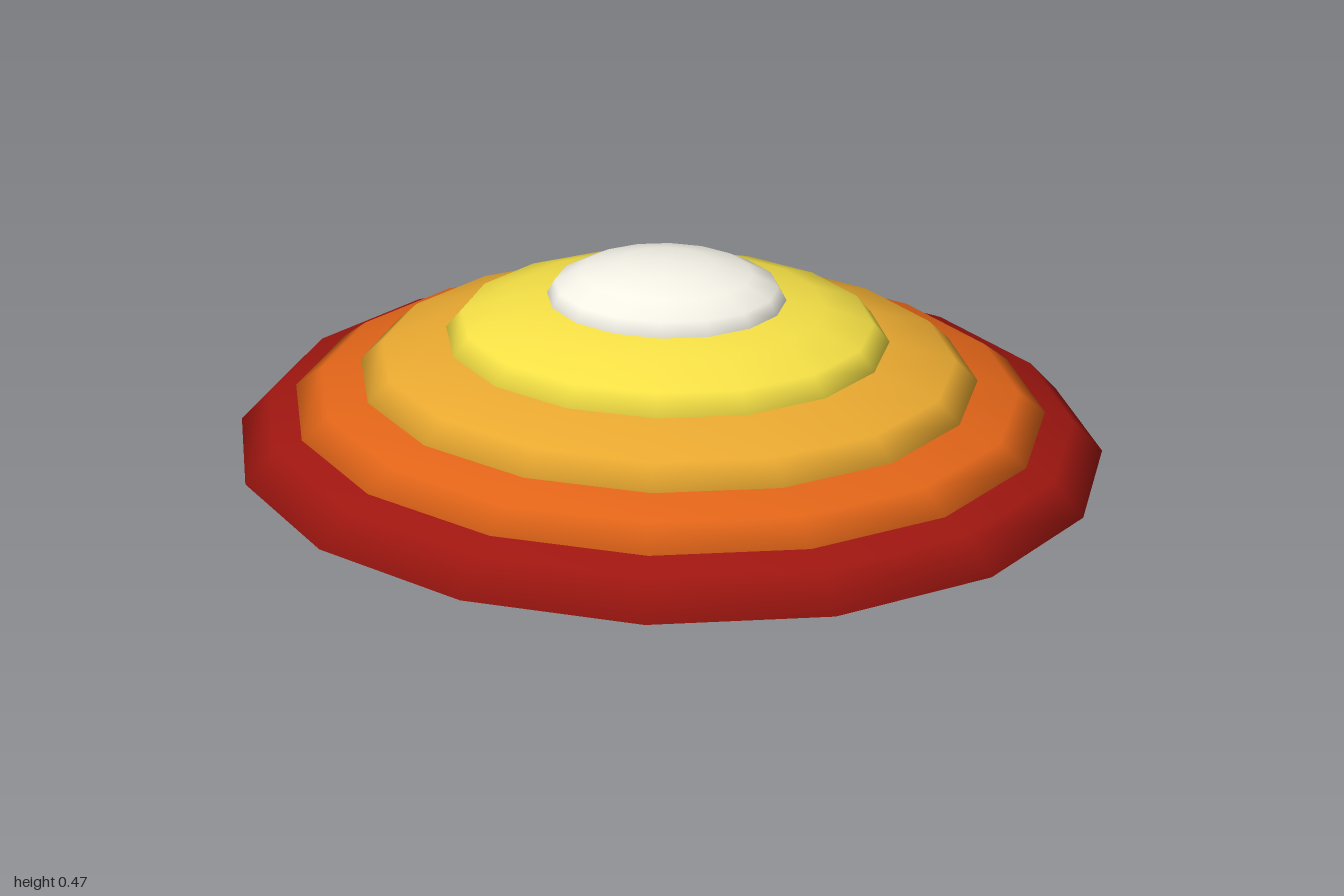
import * as THREE from 'three';

const SIDES = 16;

// One tier: a squashed smooth half-dome closed by a flat underside
function tier(name, color, y, rx, rz, height) {
  const group = new THREE.Group();
  group.name = name;
  const material = new THREE.MeshStandardMaterial({ color });

  const dome = new THREE.Mesh(
    new THREE.SphereGeometry(1, SIDES, 4, 0, Math.PI * 2, 0, Math.PI / 2), material);
  dome.name = name + 'Dome';

  const base = new THREE.Mesh(
    new THREE.CircleGeometry(1, SIDES).rotateX(Math.PI / 2), material);
  base.name = name + 'Underside';

  group.add(dome, base);
  group.position.y = y;
  group.scale.set(rx, height, rz);
  return group;
}

export function createModel() {
  const model = new THREE.Group();
  model.name = 'tieredMound';

  // name, colour, base height, x radius, z radius, dome height
  const tiers = [
    ['bottomTier', 0x9e1610, 0, 1, 0.66, 0.21],
    ['secondTier', 0xe06418, 0.1, 0.86, 0.567, 0.135],
    ['middleTier', 0xe8a830, 0.18, 0.7, 0.461, 0.135],
    ['fourthTier', 0xf4df45, 0.275, 0.497, 0.33, 0.12],
    ['topCap', 0xf3f1e6, 0.37, 0.267, 0.177, 0.096],
  ];
  for (const t of tiers) model.add(tier(...t));
  return model;
}
